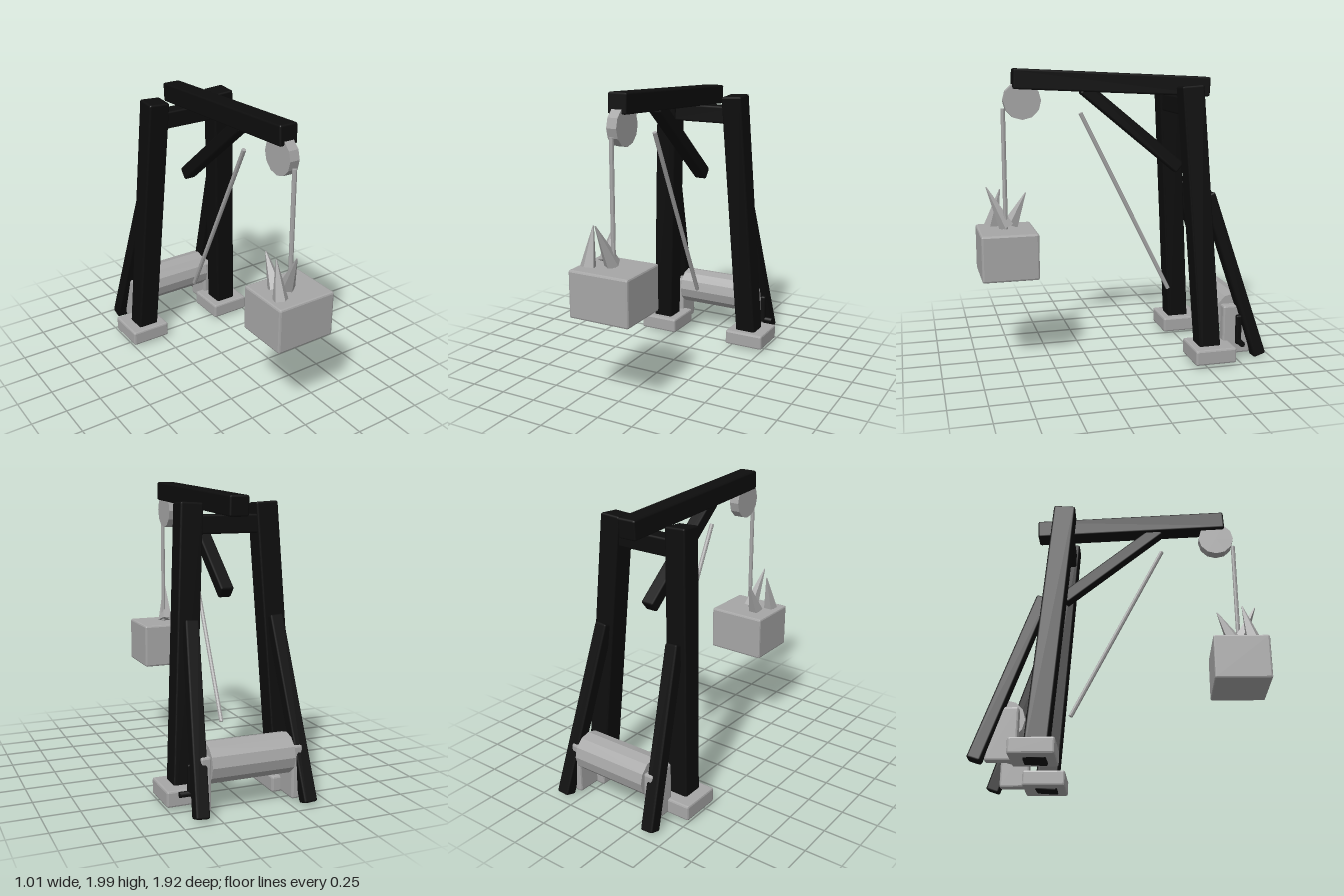
import * as THREE from 'three';
import { RoundedBoxGeometry } from 'three/addons/geometries/RoundedBoxGeometry.js';

const UP = new THREE.Vector3(0, 1, 0);
const V = (x, y, z) => new THREE.Vector3(x, y, z);

export function createModel() {
  const model = new THREE.Group();
  model.name = 'crane';

  const timber = new THREE.MeshStandardMaterial({ color: 0x0d0d0d });
  timber.name = 'darkTimber';
  const grey = new THREE.MeshStandardMaterial({ color: 0xa6a6a6, flatShading: true });
  grey.name = 'stoneGrey';

  function add(name, geometry, material, position) {
    const mesh = new THREE.Mesh(geometry, material);
    mesh.name = name;
    mesh.position.copy(position);
    model.add(mesh);
    return mesh;
  }

  // Block with narrow chamfered edges
  function block(name, w, h, d, material, position) {
    return add(name, new RoundedBoxGeometry(w, h, d, 1, 0.013), material, position);
  }

  // Square beam whose centre line runs from a to b
  function beam(name, a, b, w, d) {
    const mesh = block(name, w, a.distanceTo(b), d, timber, a.clone().lerp(b, 0.5));
    mesh.quaternion.setFromUnitVectors(UP, b.clone().sub(a).normalize());
    return mesh;
  }

  // Round bar or cone from a to b
  function bar(name, a, b, rBottom, rTop, sides, material = grey) {
    const geometry = new THREE.CylinderGeometry(rTop, rBottom, a.distanceTo(b), sides);
    const mesh = add(name, geometry, material, a.clone().lerp(b, 0.5));
    mesh.quaternion.setFromUnitVectors(UP, b.clone().sub(a).normalize());
    return mesh;
  }

  // Legs, rear stays, footings and drum supports on both sides
  for (const [side, s] of [['left', 1], ['right', -1]]) {
    beam(side + 'Leg', V(0.358 * s, 0.015, -0.55), V(0.255 * s, 1.885, -0.427), 0.15, 0.15);
    beam(side + 'Stay', V(0.365 * s, 0.02, -0.92), V(0.29 * s, 1.165, -0.548), 0.09, 0.09);
    block(side + 'Footing', 0.29, 0.107, 0.29, grey, V(0.36 * s, 0.078, -0.56));
    block(side + 'DrumSupport', 0.07, 0.35, 0.2, grey, V(0.31 * s, 0.205, -0.765));
  }

  // Crossbeam, jib and brace
  block('crossbeam', 0.5, 0.12, 0.12, timber, V(0, 1.75, -0.435));
  beam('jib', V(0, 1.866, -0.642), V(0, 1.934, 0.716), 0.132, 0.132);
  beam('brace', V(0, 1.307, -0.44), V(0, 1.87, 0.24), 0.09, 0.09);

  // Winding drum and its crank
  bar('drum', V(-0.28, 0.315, -0.765), V(0.28, 0.315, -0.765), 0.133, 0.133, 12);
  block('crankArm', 0.04, 0.21, 0.04, timber, V(0.375, 0.215, -0.765));
  bar('crankHandle', V(0.36, 0.13, -0.768), V(0.448, 0.13, -0.768), 0.02, 0.02, 8, timber);

  // Pulley and ropes
  bar('pulley', V(-0.035, 1.79, 0.655), V(0.035, 1.79, 0.655), 0.125, 0.125, 12);
  bar('hangingRope', V(0, 0.92, 0.78), V(0, 1.74, 0.78), 0.015, 0.015, 8);
  bar('haulingRope', V(0, 0.435, -0.37), V(0, 1.7, 0.26), 0.015, 0.015, 8);

  // Load with pointed crystals
  block('load', 0.426, 0.314, 0.38, grey, V(-0.002, 0.775, 0.775));
  const crystals = [
    [V(-0.015, 0.945, 0.77), V(-0.05, 1.215, 0.9), 0.055],
    [V(-0.08, 0.945, 0.735), V(-0.085, 1.16, 0.63), 0.055],
    [V(-0.135, 0.935, 0.86), V(-0.13, 1.185, 0.8), 0.052],
  ];
  for (const [base, tip, r] of crystals) bar('crystal', base, tip, r, 0.004, 5);

  return model;
}
